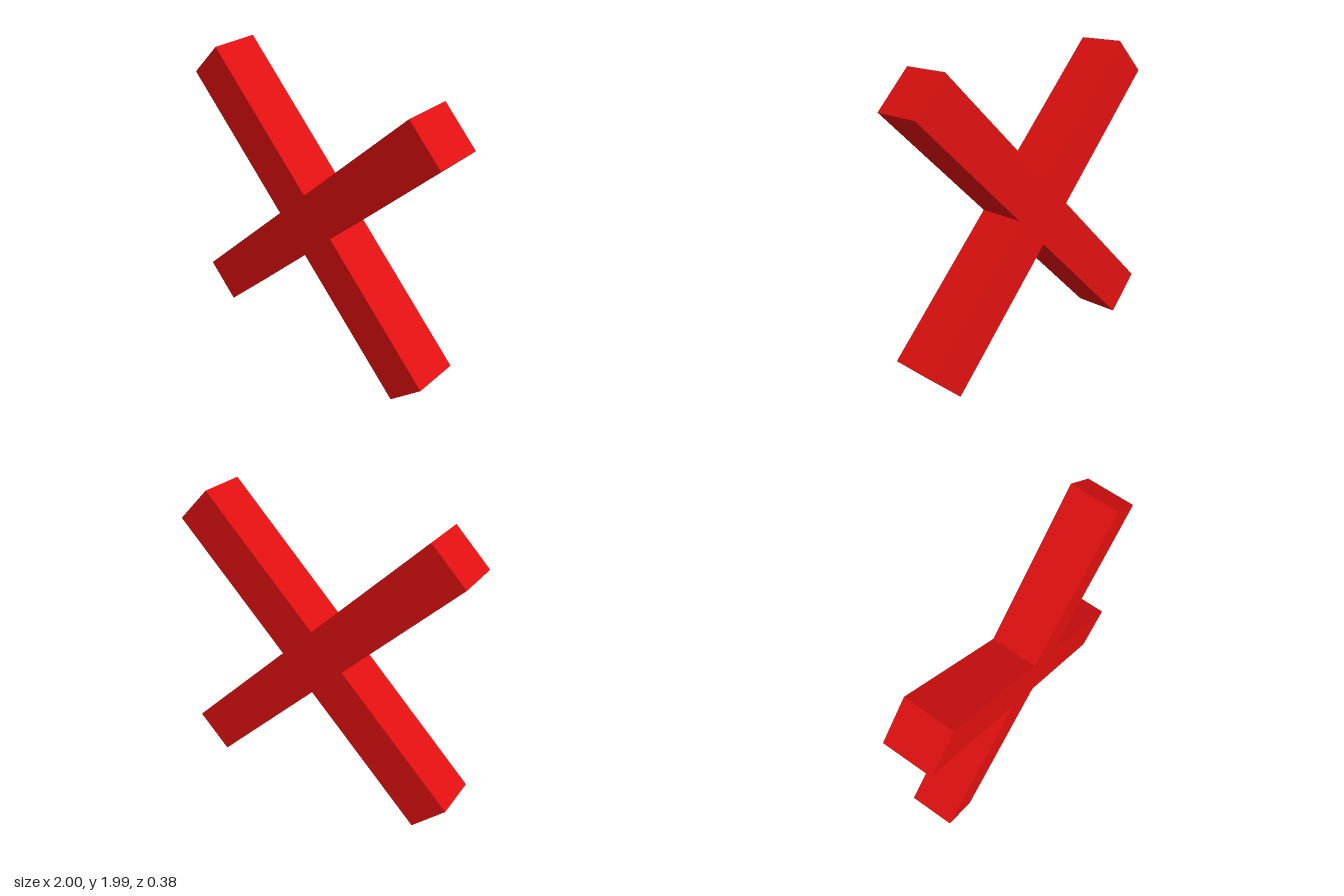
import * as THREE from 'three';

export function createModel() {
  const group = new THREE.Group();
  const L = 1.24, W = 0.157; // half length and half width of the bars

  // Outline of two crossed square bars: one arm's corners, turned four times
  const points = [];
  for (let i = 0; i < 4; i++) {
    for (const [x, y] of [[L, -W], [L, W], [W, W]]) {
      points.push(new THREE.Vector2(x, y).rotateAround(new THREE.Vector2(), i * Math.PI / 2));
    }
  }
  const geometry = new THREE.ExtrudeGeometry(new THREE.Shape(points), {
    depth: 2 * W, bevelEnabled: false,
  });
  geometry.translate(0, 0, -W);
  geometry.rotateZ(Math.PI / 4);

  // The cross leans very slightly off the axes
  const cross = new THREE.Mesh(geometry, new THREE.MeshStandardMaterial({ color: 0xe01010 }));
  cross.name = 'crossedBars';
  cross.rotation.set(0.009, -0.024, -0.0105);
  cross.position.y = 0.997;
  group.add(cross);
  return group;
}
